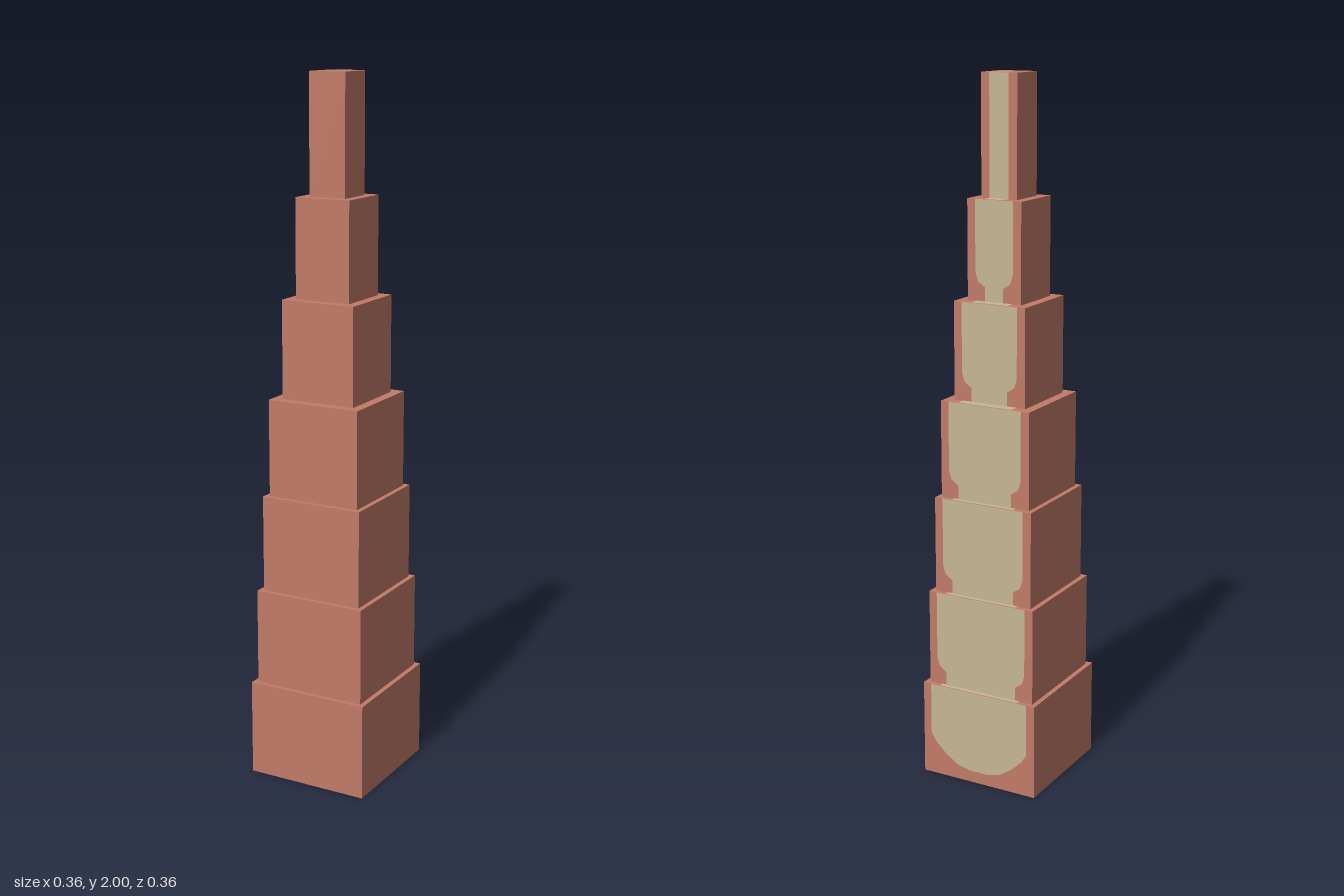
import * as THREE from 'three';

export function createModel() {
  const model = new THREE.Group();
  model.name = 'steppedTower';

  const brick = new THREE.MeshStandardMaterial({ color: 0xc27b69 });
  brick.name = 'brickRed';
  const sand = new THREE.MeshStandardMaterial({ color: 0xc6b694 });
  sand.name = 'sand';

  const add = (name, geometry, material) => {
    const mesh = new THREE.Mesh(geometry, material);
    mesh.name = name;
    model.add(mesh);
    return mesh;
  };

  // Thin face from the right half of a symmetric outline, listed bottom to top
  const symmetricFace = (half) => {
    const mirrored = half.map(([x, y]) => [-x, y]).reverse();
    const points = [...half, ...mirrored].map(([x, y]) => new THREE.Vector2(x, y));
    return new THREE.ShapeGeometry(new THREE.Shape(points));
  };

  const LIFT = 0.0012; // keeps painted faces just clear of the walls
  const STEP = 0.278;
  const halves = [0.181, 0.167, 0.153, 0.139, 0.111, 0.083, 0.055];
  const last = halves.length - 1;

  halves.forEach((h, i) => {
    const y = i * STEP;
    const height = i === last ? 2 - y : STEP;

    // Square tier
    add(`tier${i + 1}`, new THREE.BoxGeometry(2 * h, height, 2 * h), brick)
      .position.y = y + height / 2;

    // Sand patch on the back wall: rounded on the lowest tier, stepped above
    const wide = h - 0.025;
    const narrow = h - 0.055;
    let outline;
    if (i === 0) {
      outline = [[0.03, 0.035], [0.07, 0.045], [0.105, 0.068], [0.14, 0.1], [wide, 0.125], [wide, height]];
    } else if (i === last) {
      outline = [[0.029, 0], [0.029, height]];
    } else {
      outline = [[narrow, 0], [narrow, 0.04], [wide - 0.008, 0.055], [wide, 0.08], [wide, height]];
    }
    const wall = add(`backPatch${i + 1}`, symmetricFace(outline).rotateY(Math.PI), sand);
    wall.position.set(0, y, -h - LIFT);

    // Sand strip on the ledge, rounded off on the summit
    const depth = i === last ? 0.027 : h - halves[i + 1];
    const top = i === last
      ? [[0.018, 0], [0.021, 0.006], [0.028, 0.008], [0.028, depth]]
      : [[narrow, 0], [narrow, depth]];
    const ledge = add(`ledgePatch${i + 1}`, symmetricFace(top).rotateX(-Math.PI / 2), sand);
    ledge.position.set(0, y + height + (i === last ? 0.0005 : LIFT), -h + depth);
  });

  return model;
}
